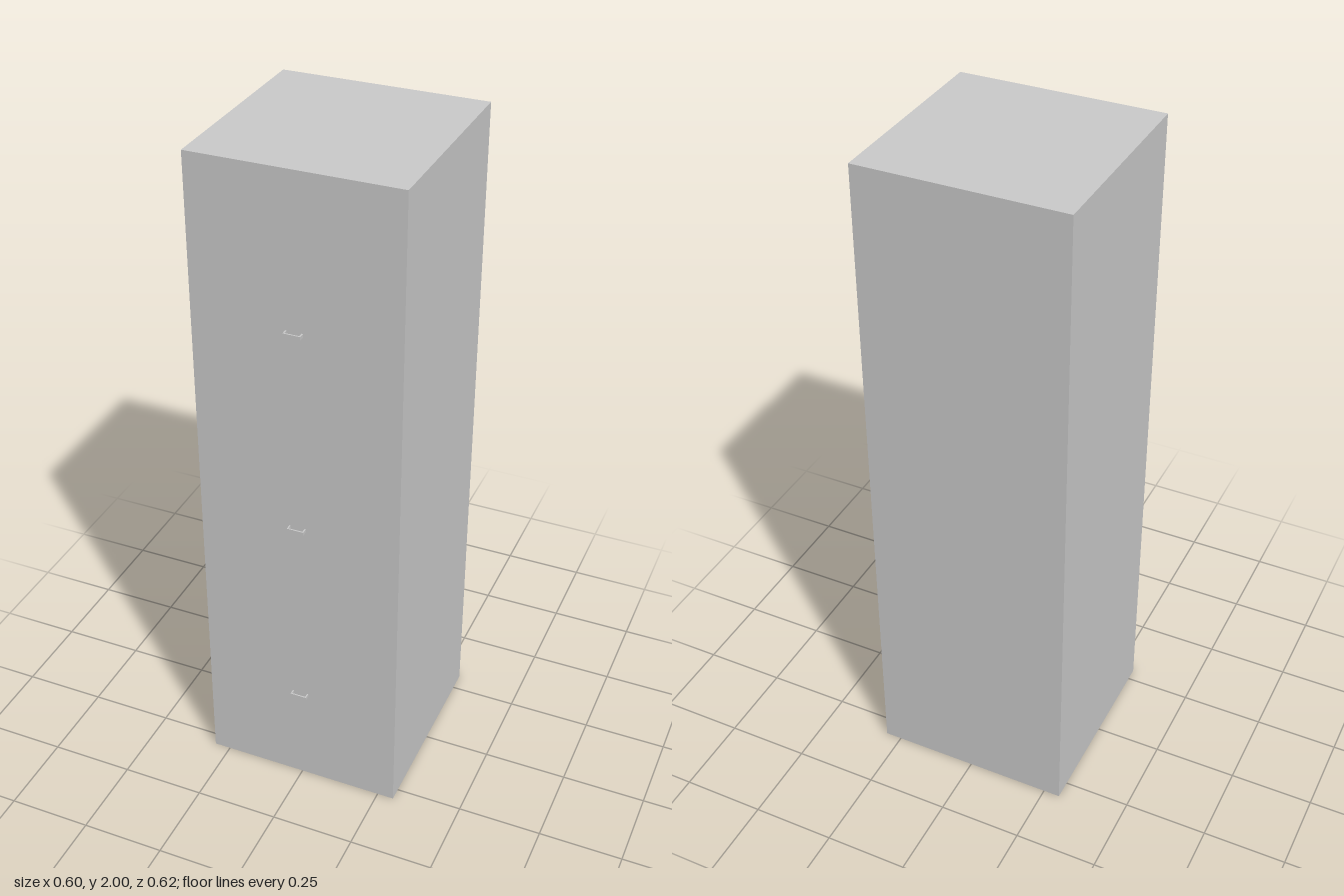
import * as THREE from 'three';

const FRONT = 0.29, BACK = -0.308, HANDLE_FRONT = 0.308;

export function createModel() {
  const model = new THREE.Group();
  const grey = new THREE.MeshStandardMaterial({ color: 0xcccccc, flatShading: true });

  // Tall cabinet body
  const body = new THREE.Mesh(new THREE.BoxGeometry(0.6, 2, FRONT - BACK), grey);
  body.name = 'cabinetBody';
  body.position.set(0, 1, (FRONT + BACK) / 2);
  model.add(body);

  // U-shaped pull handle outline, seen from above (shape y becomes -z)
  const w = 0.025, t = 0.004, d = HANDLE_FRONT - FRONT;
  const outline = new THREE.Shape([
    [-w, 0], [-w, -d], [w, -d], [w, 0],
    [w - t, 0], [w - t, t - d], [t - w, t - d], [t - w, 0],
  ].map(([x, y]) => new THREE.Vector2(x, y)));
  const height = 0.01;
  const handleGeometry = new THREE.ExtrudeGeometry(outline, { depth: height, bevelEnabled: false });
  handleGeometry.rotateX(-Math.PI / 2).translate(0, -height / 2, 0);

  // One handle per drawer, on the front face
  [['lowerHandle', 0.319], ['middleHandle', 0.929], ['upperHandle', 1.548]].forEach(([name, y]) => {
    const handle = new THREE.Mesh(handleGeometry, grey);
    handle.name = name;
    handle.position.set(-0.002, y, FRONT);
    model.add(handle);
  });

  return model;
}
